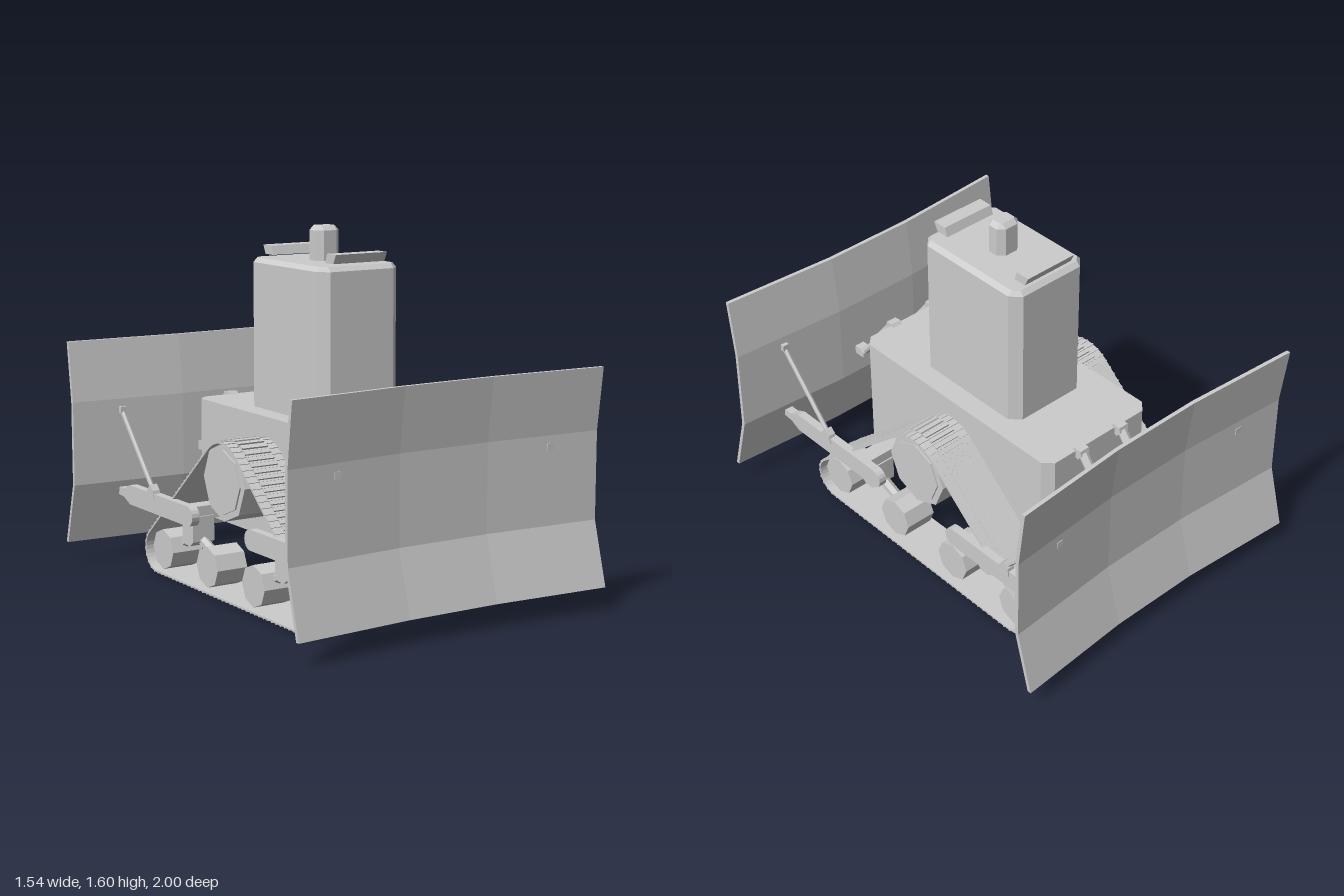
import * as THREE from 'three';
import { mergeGeometries } from 'three/addons/utils/BufferGeometryUtils.js';

const grey = new THREE.MeshStandardMaterial({ color: 0xcccccc, flatShading: true });
grey.name = 'plain grey';

function add(parent, name, geometry) {
  const mesh = new THREE.Mesh(geometry, grey);
  mesh.name = name;
  parent.add(mesh);
  return mesh;
}

const box = (w, h, d, x, y, z) => new THREE.BoxGeometry(w, h, d).translate(x, y, z);

// Upright block with chamfered corners and an optional chamfered top edge
function block(w, d, c, y0, y1, bevel = 0) {
  const rings = [[0, y0], [0, y1 - bevel]];
  if (bevel) rings.push([bevel, y1]);
  const plan = (i) => {
    const a = w - i, b = d - i;
    return [[a, c - d], [a, d - c], [w - c, b], [c - w, b], [-a, d - c], [-a, c - d], [c - w, -b], [w - c, -b]];
  };
  const pos = [], index = [];
  rings.forEach(([i, y]) => plan(i).forEach(([x, z]) => pos.push(x, y, z)));
  for (let r = 0; r < rings.length - 1; r++) {
    for (let k = 0; k < 8; k++) {
      const a = r * 8 + k, b = r * 8 + (k + 1) % 8;
      index.push(a, a + 8, b, b, a + 8, b + 8);
    }
  }
  const t = (rings.length - 1) * 8;
  for (let k = 1; k < 7; k++) index.push(t, t + k + 1, t + k, 0, k, k + 1);
  const g = new THREE.BufferGeometry();
  g.setAttribute('position', new THREE.Float32BufferAttribute(pos, 3));
  g.setIndex(index);
  g.computeVertexNormals();
  return g;
}

// Side profile in (z, y), extruded across x from x0 to x1
function sidePlate(shape, x0, x1) {
  return new THREE.ExtrudeGeometry(shape, { depth: x1 - x0, bevelEnabled: false })
    .rotateY(-Math.PI / 2).translate(x1, 0, 0);
}
const profile = (pts) => new THREE.Shape(pts.map(([z, y]) => new THREE.Vector2(z, y)));

// Straight round bar between two points
function rod(a, b, r, sides = 8) {
  const from = new THREE.Vector3(...a), dir = new THREE.Vector3(...b).sub(from);
  const q = new THREE.Quaternion().setFromUnitVectors(new THREE.Vector3(0, 1, 0), dir.clone().normalize());
  const mid = from.addScaledVector(dir, 0.5);
  return new THREE.CylinderGeometry(r, r, dir.length(), sides).applyQuaternion(q).translate(mid.x, mid.y, mid.z);
}

// Eight-sided wheel with its axle along x
const wheel = (r, x0, x1, y, z, rOut = r) => new THREE.CylinderGeometry(r, rOut, x1 - x0, 8)
  .rotateZ(Math.PI / 2).translate((x0 + x1) / 2, y, z);

// Belt outline wrapped around the sprocket and the two end wheels
const SPROCKET = { z: 0, y: 0.525, r: 0.168 }, END = { z: 0.592, y: 0.108, r: 0.093 };
function beltOutline(offset) {
  const dz = END.z, dy = END.y - SPROCKET.y;
  const phi = Math.atan2(dy, dz) + Math.acos((SPROCKET.r - END.r) / Math.hypot(dz, dy));
  const pts = [];
  const arc = (z, { y, r }, a0, a1, n) => {
    for (let i = 0; i <= n; i++) {
      const a = a0 + (a1 - a0) * i / n;
      pts.push(new THREE.Vector2(z + Math.cos(a) * (r + offset), y + Math.sin(a) * (r + offset)));
    }
  };
  arc(END.z, END, -Math.PI / 2, phi, 12);
  arc(0, SPROCKET, phi, Math.PI - phi, 10);
  arc(-END.z, END, Math.PI - phi, Math.PI * 1.5, 12);
  pts.push(pts[0].clone());
  return pts;
}

function trackGeometry() {
  const outer = new THREE.Shape(beltOutline(0.008));
  outer.holes.push(new THREE.Path(beltOutline(0).reverse()));
  return sidePlate(outer, 0.297, 0.523);
}

// Tall narrow cleats with low full-width ribs between them
function cleatGeometry() {
  const n = 200, pts = new THREE.Path(beltOutline(0.009)).getSpacedPoints(n), parts = [];
  for (let i = 0; i < n; i++) {
    const p = pts[i], q = pts[(i + 1) % n], o = pts[(i + n - 1) % n];
    const tall = i % 2 === 0;
    const g = new THREE.BoxGeometry(tall ? 0.13 : 0.228, tall ? 0.014 : 0.005, tall ? 0.018 : 0.008);
    g.rotateX(-Math.atan2(q.y - o.y, q.x - o.x)).translate(0.41, p.y, p.x);
    parts.push(g);
  }
  return mergeGeometries(parts);
}

// Folded blade: the middle sits back, the top and bottom lean forward
function bladeGeometry() {
  const g = new THREE.BoxGeometry(3, 3, 2, 3, 3, 1), p = g.attributes.position;
  const xs = [-0.77, -0.22, 0.22, 0.77], ys = [0.1, 0.38, 0.765, 1.04], zs = [1.0, 0.923, 0.923, 0.957];
  for (let i = 0; i < p.count; i++) {
    const cx = Math.round(p.getX(i) + 1.5), cy = Math.round(p.getY(i) + 1.5);
    const inset = (cx === 1 || cx === 2) ? 0.037 : 0;
    p.setXYZ(i, xs[cx], ys[cy], zs[cy] - inset - (p.getZ(i) < 0 ? 0.018 : 0));
  }
  g.computeVertexNormals();
  return g;
}

// Blade, rams, push arms and bogies of the front half
function buildEnd(name) {
  const end = new THREE.Group();
  end.name = name;
  add(end, 'blade', bladeGeometry());
  add(end, 'roofLamp', sidePlate(profile([[0.207, 1.46], [0.27, 1.46], [0.289, 1.5], [0.222, 1.5]]), -0.13, 0.13));
  for (const s of [-1, 1]) {
    const x = 0.115 * s, ax = 0.53 * s;
    // Lifting rams
    add(end, 'ramBodyBracket', sidePlate(profile([[0.565, 0.775], [0.61, 0.75], [0.63, 0.775], [0.625, 0.8], [0.59, 0.803]]), x - 0.025, x + 0.025));
    add(end, 'ramCylinder', rod([x, 0.775, 0.615], [x, 0.635, 0.725], 0.022));
    add(end, 'ramPiston', rod([x, 0.64, 0.72], [x, 0.51, 0.825], 0.015));
    add(end, 'ramBladeBracket', sidePlate(profile([[0.81, 0.49], [0.885, 0.49], [0.885, 0.53], [0.835, 0.53], [0.81, 0.515]]), x - 0.024, x + 0.024));
    // Push arm with a rounded inner end and a tapered tip
    const arm = new THREE.Shape();
    arm.moveTo(0.265, 0.285).lineTo(0.8, 0.285).lineTo(0.855, 0.31).lineTo(0.905, 0.315)
      .lineTo(0.905, 0.35).lineTo(0.855, 0.35).lineTo(0.8, 0.375).lineTo(0.265, 0.375);
    arm.absarc(0.265, 0.33, 0.045, Math.PI / 2, Math.PI * 1.5, false);
    const [a0, a1] = s > 0 ? [0.505, 0.543] : [-0.543, -0.505];
    const armGeo = new THREE.ExtrudeGeometry(arm, { depth: a1 - a0, bevelEnabled: false, curveSegments: 4 });
    add(end, 'pushArm', armGeo.rotateY(-Math.PI / 2).translate(a1, 0, 0));
    // Diagonal brace
    add(end, 'braceFoot', sidePlate(profile([[0.56, 0.35], [0.625, 0.35], [0.62, 0.39], [0.595, 0.415], [0.57, 0.39]]), ax - 0.018, ax + 0.018));
    add(end, 'brace', rod([ax, 0.385, 0.595], [ax, 0.715, 0.89], 0.011, 6));
    add(end, 'braceBladeMount', box(0.03, 0.03, 0.04, ax, 0.715, 0.89));
    // Bogie with two wheels
    const span = (a, b) => s > 0 ? [a, b] : [-b, -a];
    add(end, 'bogieAxle', box(0.24, 0.06, 0.08, 0.41 * s, 0.315, 0.392));
    add(end, 'bogieHub', sidePlate(profile([[0.345, 0.185], [0.37, 0.165], [0.415, 0.165], [0.44, 0.185], [0.44, 0.3], [0.345, 0.3]]), ...span(0.36, 0.47)));
    for (const z of [0.195, END.z]) {
      add(end, 'bogieArm', rod([0.41 * s, 0.2, 0.392], [0.41 * s, 0.12, z], 0.024, 6));
      add(end, 'roadWheel', wheel(END.r, ...span(0.335, 0.485), END.y, z));
    }
  }
  return end;
}

export function createModel() {
  const model = new THREE.Group();
  model.name = 'doubleBladeBulldozer';

  // Hull, cab and exhaust stack
  add(model, 'hull', block(0.3, 0.597, 0.042, 0.26, 0.79));
  add(model, 'cab', block(0.205, 0.295, 0.045, 0.79, 1.45, 0.02));
  add(model, 'stack', block(0.06, 0.05, 0.028, 1.45, 1.6, 0.02));

  // Tracks and drive sprockets
  const belt = trackGeometry(), cleats = cleatGeometry();
  for (const s of [0, 1]) {
    const side = new THREE.Group();
    side.name = s ? 'rightTrack' : 'leftTrack';
    side.rotation.y = s * Math.PI;
    add(side, 'belt', belt);
    add(side, 'cleats', cleats);
    add(side, 'sprocket', wheel(0.172, 0.29, 0.49, SPROCKET.y, 0));
    add(side, 'sprocketRim', wheel(0.172, 0.49, 0.51, SPROCKET.y, 0, 0.172).scale(1, 1, 1));
    add(side, 'sprocketCap', wheel(0.142, 0.505, 0.517, SPROCKET.y, 0));
    model.add(side);
  }

  // The two ends are identical
  const front = buildEnd('frontEnd'), back = buildEnd('backEnd');
  back.rotation.y = Math.PI;
  model.add(front, back);
  return model;
}
